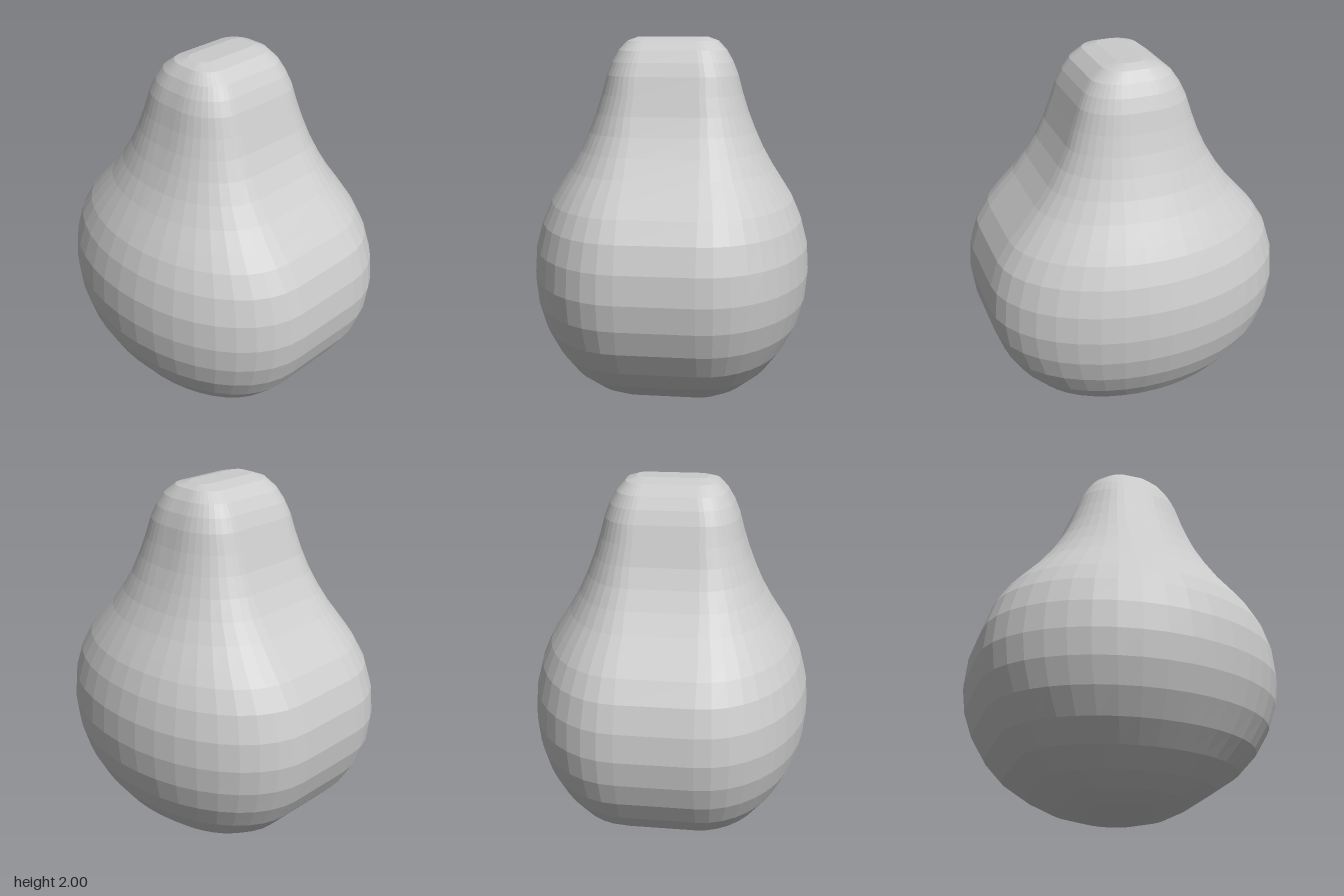
import * as THREE from 'three';

// Cross-sections from bottom to top: height, half width, half depth, straight run in x, straight run in z
const RINGS = [
  [0, 0.16, 0.07, 0.1, 0],
  [0.02, 0.26, 0.17, 0.14, 0],
  [0.06, 0.37, 0.32, 0.17, 0],
  [0.125, 0.465, 0.45, 0.19, 0],
  [0.215, 0.565, 0.58, 0.2, 0],
  [0.325, 0.645, 0.68, 0.2, 0],
  [0.455, 0.71, 0.757, 0.2, 0],
  [0.59, 0.747, 0.803, 0.2, 0],
  [0.73, 0.76, 0.82, 0.2, 0],
  [0.88, 0.75, 0.805, 0.2, 0],
  [1.02, 0.713, 0.76, 0.2, 0],
  [1.13, 0.665, 0.69, 0.2, 0],
  [1.2, 0.62, 0.628, 0.2, 0.01],
  [1.3, 0.555, 0.54, 0.19, 0.02],
  [1.4, 0.498, 0.465, 0.19, 0.03],
  [1.5, 0.452, 0.405, 0.18, 0.04],
  [1.6, 0.412, 0.357, 0.18, 0.05],
  [1.7, 0.38, 0.322, 0.17, 0.05],
  [1.8, 0.353, 0.288, 0.17, 0.05],
  [1.87, 0.325, 0.255, 0.16, 0.05],
  [1.93, 0.29, 0.215, 0.15, 0.05],
  [1.98, 0.245, 0.15, 0.14, 0.04],
  [2, 0.19, 0.07, 0.13, 0.03],
];
const ARC = 10; // segments per rounded corner

// One closed ring: four elliptical corners joined by straight runs
function ringPoints([y, halfX, halfZ, flatX, flatZ]) {
  const points = [];
  for (let q = 0; q < 4; q++) {
    const sx = q === 0 || q === 3 ? 1 : -1;
    const sz = q < 2 ? 1 : -1;
    for (let i = 0; i <= ARC; i++) {
      const a = (q + i / ARC) * Math.PI / 2;
      points.push([
        sx * flatX + Math.cos(a) * (halfX - flatX), y,
        sz * flatZ + Math.sin(a) * (halfZ - flatZ),
      ]);
    }
  }
  return points;
}

function loftGeometry() {
  const rings = RINGS.map(ringPoints);
  const n = rings[0].length;
  const top = rings.length - 1;
  const positions = rings.flat(2);
  const index = [];
  for (let r = 0; r < top; r++) {
    for (let i = 0; i < n; i++) {
      const a = r * n + i, b = r * n + (i + 1) % n;
      index.push(a, a + n, b, b, a + n, b + n);
    }
  }
  // Flat end caps
  const bottomCentre = positions.length / 3;
  positions.push(0, 0, 0, 0, 2, 0);
  for (let i = 0; i < n; i++) {
    const j = (i + 1) % n;
    index.push(bottomCentre, i, j);
    index.push(bottomCentre + 1, top * n + j, top * n + i);
  }
  const indexed = new THREE.BufferGeometry();
  indexed.setAttribute('position', new THREE.Float32BufferAttribute(positions, 3));
  indexed.setIndex(index);
  const geometry = indexed.toNonIndexed();
  geometry.computeVertexNormals();
  return geometry;
}

export function createModel() {
  const group = new THREE.Group();
  group.name = 'pear';
  const material = new THREE.MeshStandardMaterial({ color: 0xcccccc, flatShading: true });

  // Round belly and tapering neck in one skin
  const body = new THREE.Mesh(loftGeometry(), material);
  body.name = 'pearBody';
  group.add(body);
  return group;
}
